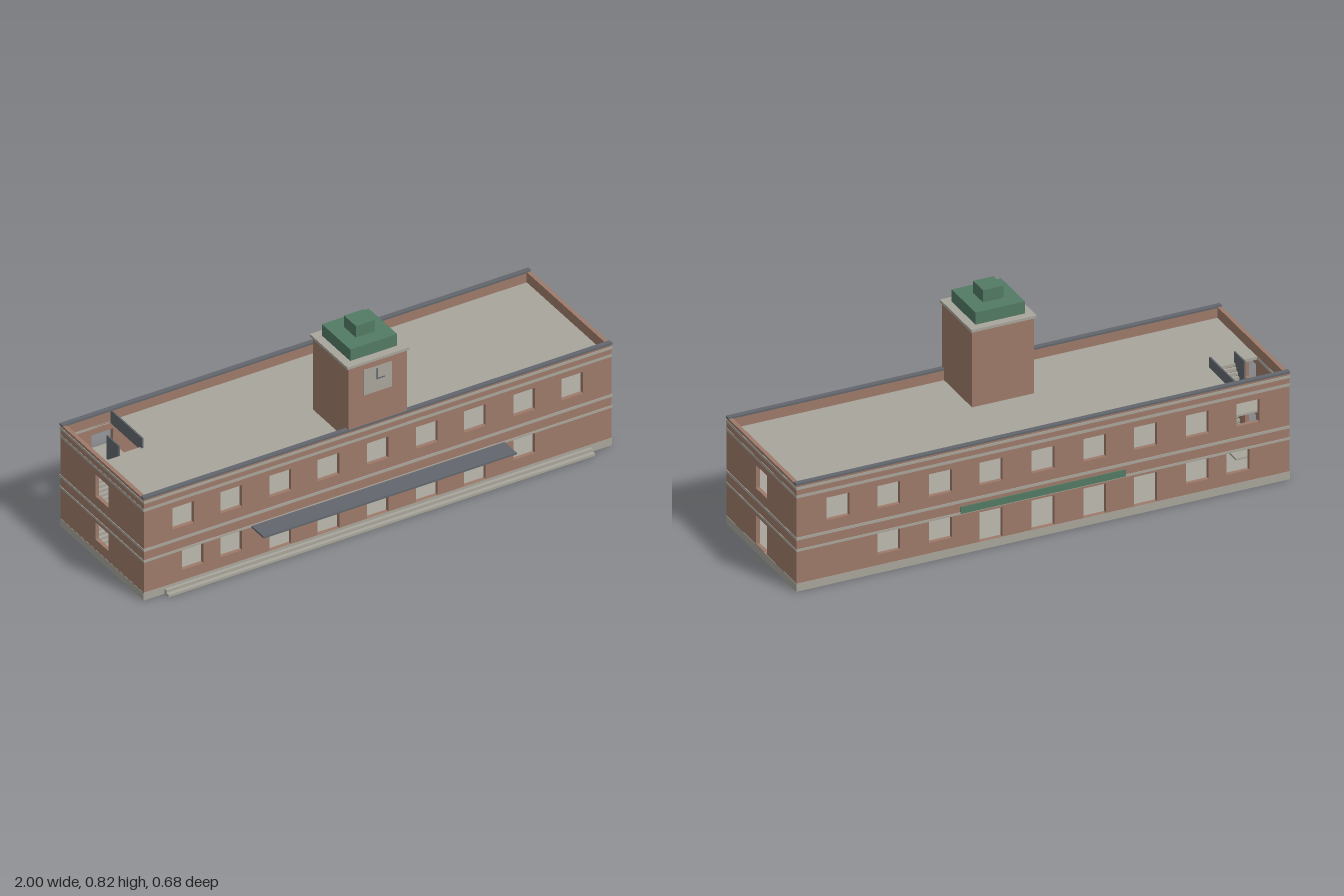
import * as THREE from 'three';

const mat = (name, color) => {
  const m = new THREE.MeshStandardMaterial({ color });
  m.name = name;
  return m;
};

export function createModel() {
  const brick = mat('brick', 0x9e7a6a);
  const stone = mat('stone', 0xa8a59b);
  const slate = mat('slate', 0x62676d);
  const copper = mat('copper', 0x527a64);

  const model = new THREE.Group();
  model.name = 'clockTowerBuilding';

  // Box from minimum and maximum corners
  const box = (name, m, x0, x1, y0, y1, z0, z1, parent = model) => {
    const mesh = new THREE.Mesh(new THREE.BoxGeometry(x1 - x0, y1 - y0, z1 - z0), m);
    mesh.position.set((x0 + x1) / 2, (y0 + y1) / 2, (z0 + z1) / 2);
    mesh.name = name;
    parent.add(mesh);
    return mesh;
  };

  // Flat plate with rectangular holes [u0, u1, v0, v1]
  const plate = (u0, u1, v0, v1, holes, depth) => {
    const rect = (P, a, b, c, d) => {
      const p = new P();
      p.moveTo(a, c);
      p.lineTo(b, c);
      p.lineTo(b, d);
      p.lineTo(a, d);
      p.closePath();
      return p;
    };
    const s = rect(THREE.Shape, u0, u1, v0, v1);
    holes.forEach((h) => s.holes.push(rect(THREE.Path, ...h)));
    return new THREE.ExtrudeGeometry(s, { depth, bevelEnabled: false });
  };
  const add = (name, geo, m, x, y, z) => {
    const mesh = new THREE.Mesh(geo, m);
    mesh.position.set(x, y, z);
    mesh.name = name;
    model.add(mesh);
  };

  const X = 0.998, ZF = 0.25, ZB = -0.335, T = 0.016, TOP = 0.441;
  const opening = (c, y0, y1) => [c - 0.046, c + 0.046, y0, y1];
  const upper = [-0.83, -0.625, -0.415, -0.21, 0, 0.21, 0.415, 0.625, 0.83].map((c) => opening(c, 0.267, 0.36));
  const low = (c) => opening(c, 0.077, 0.165);
  const door = (c) => opening(c, 0.034, 0.155);

  // Long walls
  const frontHoles = [...upper, ...[-0.79, -0.625, 0.625].map(low), ...[-0.415, -0.21, 0, 0.21, 0.415].map(door)];
  const backHoles = [...upper, ...[-0.79, -0.625, 0.415, 0.625].map(low), ...[-0.415, -0.21, 0, 0.21].map(door)];
  add('frontWall', plate(-X, X, 0, TOP, frontHoles, T), brick, 0, 0, ZF - T);
  add('backWall', plate(-X, X, 0, TOP, backHoles, T), brick, 0, 0, ZB);

  // End walls: a door on one side, a window on the other
  const endWall = (sill) =>
    plate(ZB + T, ZF - T, 0, TOP, [[-0.09, 0.004, 0.265, 0.36], [-0.09, 0.004, sill, 0.152]], T).rotateY(-Math.PI / 2);
  add('leftWall', endWall(0.034), brick, X, 0, 0);
  add('rightWall', endWall(0.077), brick, -X + T, 0, 0);

  // Ground slab, upper floor and roof, the last two with a stairwell
  box('base', stone, -X - 0.001, X + 0.001, 0, 0.033, ZB - 0.001, ZF + 0.001);
  const well = [[-0.98, -0.79, ZB + T, -0.1]];
  const slab = (e, h) => plate(-X - e, X + e, ZB - e, ZF + e, well, h).rotateX(Math.PI / 2);
  add('upperFloor', slab(-0.004, 0.012), stone, 0, 0.223, 0);
  add('roof', slab(0.001, 0.012), stone, 0, 0.397, 0);

  // Stone string courses
  [[0.165, 0.174], [0.212, 0.223], [0.42, 0.43]].forEach(([y0, y1]) => {
    box('frontCourse', stone, -1, 1, y0, y1, ZF, ZF + 0.003);
    box('backCourse', stone, -1, 1, y0, y1, ZB - 0.003, ZB);
    [-1, X].forEach((x) => box('endCourse', stone, x, x + 0.002, y0, y1, ZB, ZF));
  });

  // Parapet caps
  box('frontCap', slate, -1, 1, 0.438, 0.446, ZF - T - 0.002, ZF + 0.002);
  box('backCap', slate, -1, 1, 0.438, 0.446, ZB - 0.002, ZB + T + 0.002);

  // Entrance steps and canopies
  box('upperStep', stone, -0.91, 0.91, 0, 0.022, ZF, 0.264);
  box('lowerStep', stone, -0.91, 0.91, 0, 0.01, ZF, 0.28);
  box('canopy', slate, -0.54, 0.54, 0.163, 0.171, ZF, 0.338);
  box('backSignBoard', copper, -0.335, 0.335, 0.168, 0.196, ZB - 0.004, ZB);

  // Tower
  const tower = new THREE.Group();
  tower.name = 'tower';
  model.add(tower);
  box('towerShaft', brick, -0.125, 0.125, 0.39, 0.711, 0, ZF + 0.0005, tower);
  box('towerCornice', stone, -0.132, 0.132, 0.711, 0.722, -0.009, 0.255, tower);
  box('lowerRoofTier', copper, -0.1, 0.1, 0.722, 0.772, 0.023, 0.222, tower);
  box('upperRoofTier', copper, -0.041, 0.041, 0.772, 0.822, 0.082, 0.164, tower);
  box('clockFace', stone, -0.06, 0.06, 0.575, 0.685, ZF, 0.252, tower);
  box('minuteHand', slate, -0.006, -0.001, 0.63, 0.676, 0.252, 0.2535, tower);
  box('hourHand', slate, -0.006, 0.029, 0.628, 0.633, 0.252, 0.2535, tower);

  // Stairs: two flights and a landing on each storey
  const N = 7;
  [[0.033, 0.125, 0.223], [0.223, 0.305, 0.397]].forEach(([y0, ym, y1]) => {
    box('landing', stone, -0.981, -0.79, ym - 0.008, ym, ZB + T, -0.18);
    for (let i = 0; i < N; i++) {
      const d = 0.08 / N;
      const za = -0.1 - d * (i + 1);
      const ya = y0 + ((ym - y0) * (i + 1)) / N;
      box('lowerTread', stone, -0.981, -0.89, ya - 0.012, ya, za, za + d);
      const zb = -0.18 + d * i;
      const yb = ym + ((y1 - ym) * (i + 1)) / N;
      box('upperTread', stone, -0.89, -0.79, yb - 0.012, yb, zb, zb + d);
    }
  });

  // Stairwell guards on the roof
  box('stairGuard', slate, -0.793, -0.787, 0.385, TOP, ZB + T, -0.1);
  box('middleGuard', slate, -0.893, -0.887, 0.34, TOP, -0.185, -0.1);

  return model;
}
